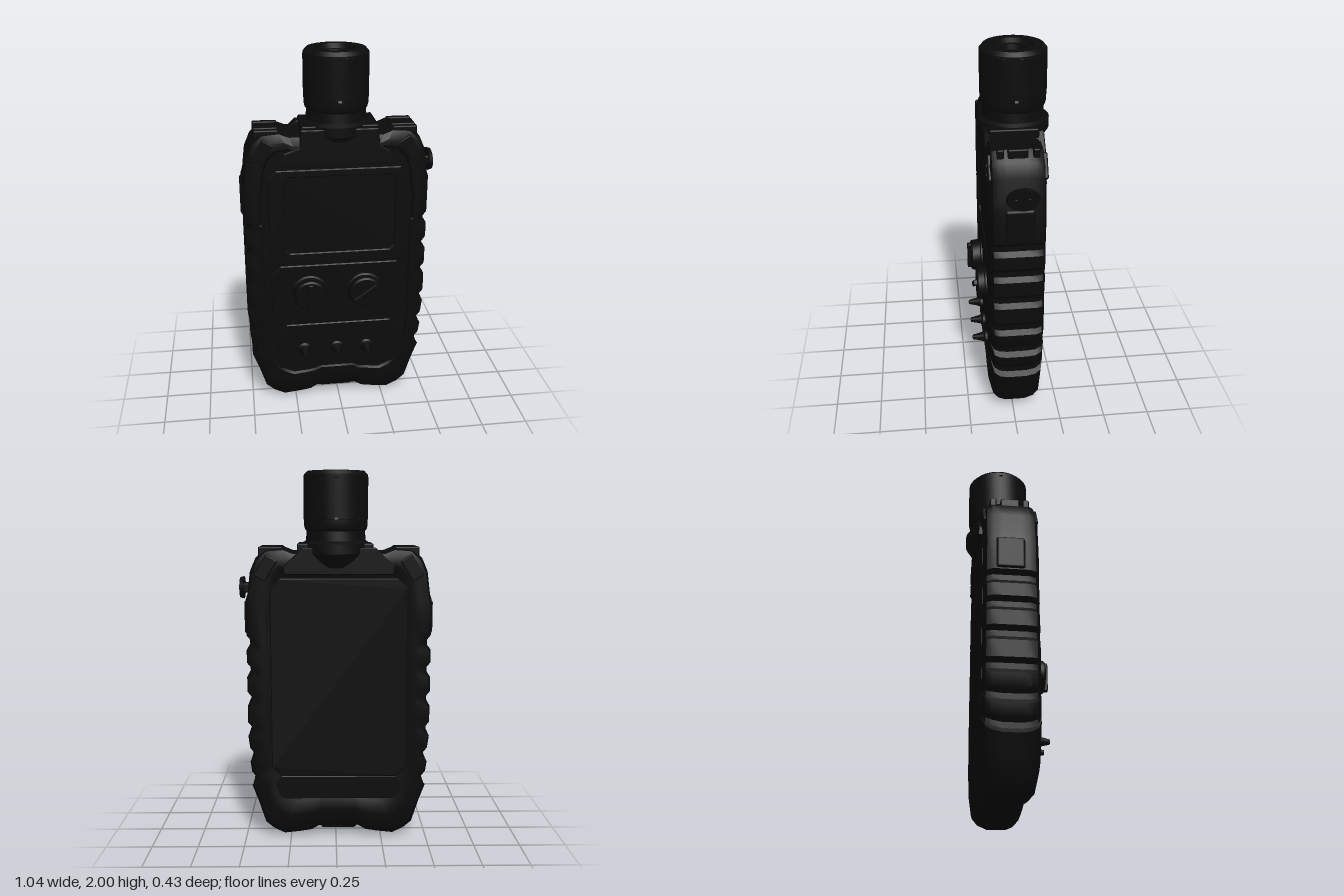
import * as THREE from 'three';
import { toCreasedNormals } from 'three/addons/utils/BufferGeometryUtils.js';
import { RoundedBoxGeometry } from 'three/addons/geometries/RoundedBoxGeometry.js';

const CX = -0.015; // body centre line
const HEAD_Z = -0.035; // axis of the sensor head

export function createModel() {
  const root = new THREE.Group();
  root.name = 'handheldDetector';
  const rubber = new THREE.MeshStandardMaterial({ color: 0x0b0b0b });

  const add = (name, geo, x = 0, y = 0, z = 0, parent = root) => {
    const m = new THREE.Mesh(geo, rubber);
    m.name = name;
    m.position.set(x, y, z);
    parent.add(m);
    return m;
  };
  const box = (name, x, y, z, w, h, d, r = 0.008, parent = root) =>
    add(name, new RoundedBoxGeometry(w, h, d, 2, r), x, y, z, parent);

  // Polygon plate between two depths, with a bevelled edge
  const plate = (name, pts, z0, z1, holePts) => {
    const shape = new THREE.Shape(pts.map(p => new THREE.Vector2(...p)));
    if (holePts) shape.holes.push(new THREE.Path(holePts.map(p => new THREE.Vector2(...p))));
    const b = 0.005;
    const geo = new THREE.ExtrudeGeometry(shape, {
      depth: z1 - z0 - 2 * b, bevelSize: b, bevelThickness: b, bevelSegments: 1
    });
    return add(name, geo, CX, 0, z0 + b);
  };
  // Rectangle with cut corners
  const rect = (x0, x1, y0, y1, c) => [
    [x0 + c, y0], [x1 - c, y0], [x1, y0 + c], [x1, y1 - c],
    [x1 - c, y1], [x0 + c, y1], [x0, y1 - c], [x0, y0 + c]
  ];

  add('body', bodyGeometry());

  // Front: screen bezel, glass, key panel, switch panel
  plate('screenBezel', rect(-0.355, 0.375, 0.88, 1.40, 0.04), 0.10, 0.13, rect(-0.28, 0.315, 0.93, 1.37, 0.025));
  plate('screen', rect(-0.275, 0.31, 0.935, 1.365, 0.02), 0.09, 0.121);
  plate('keyPanel', rect(-0.355, 0.375, 0.535, 0.855, 0.05), 0.10, 0.127);
  plate('switchPanel', [[-0.33, 0.22], [0.35, 0.22], [0.35, 0.42], [0.30, 0.49], [-0.28, 0.49], [-0.33, 0.42]], 0.09, 0.125);

  // Two turning knobs with grip bars
  for (const [x, depth, angle] of [[-0.165, 0.19, 0], [0.138, 0.18, -0.95]]) {
    const knob = new THREE.Group();
    knob.name = 'knob';
    knob.position.set(x, 0.7, 0);
    knob.rotation.z = angle;
    root.add(knob);
    const profile = [[0, 0.1], [0.1, 0.1], [0.1, 0.135], [0.091, 0.14], [0.087, depth - 0.008], [0.079, depth], [0, depth]];
    const g = new THREE.LatheGeometry(profile.map(p => new THREE.Vector2(...p)), 32);
    g.rotateX(Math.PI / 2);
    add('knobCap', toCreasedNormals(g, 0.5), 0, 0, 0, knob);
    box('knobGrip', 0, 0, depth, 0.03, 0.155, 0.04, 0.006, knob);
  }

  // Three toggle switches
  for (const x of [-0.2, -0.016, 0.152]) {
    const profile = [[0, 0.1], [0.04, 0.1], [0.04, 0.138], [0.03, 0.145], [0.024, 0.16], [0.013, 0.207], [0, 0.21]];
    const g = new THREE.LatheGeometry(profile.map(p => new THREE.Vector2(...p)), 16);
    g.rotateX(Math.PI / 2);
    add('toggleSwitch', toCreasedNormals(g, 0.5), x, 0.342, 0);
  }

  // Neck housing on front and back
  const neck = [[-0.31, 1.43], [0.31, 1.43], [0.27, 1.49], [0.22, 1.52], [0.21, 1.61], [-0.18, 1.61], [-0.19, 1.52], [-0.27, 1.49]];
  plate('neckFront', neck, 0.08, 0.132);
  plate('neckBack', [[-0.285, 1.47], [0.285, 1.47], [0.285, 1.51], [0.19, 1.60], [-0.19, 1.60], [-0.285, 1.51]], -0.172, -0.1);

  // Sensor head: collar, grooved neck, cap with stepped opening
  const headProfile = [
    [0, 1.50], [0.14, 1.50], [0.185, 1.575], [0.185, 1.625], [0.16, 1.64], [0.155, 1.69], [0.164, 1.70],
    [0.169, 1.72], [0.169, 1.75], [0.163, 1.76], [0.163, 1.96], [0.17, 1.965], [0.17, 1.98], [0.152, 2.0],
    [0.105, 2.0], [0.098, 1.975], [0.075, 1.975], [0.07, 1.94], [0, 1.94]
  ];
  const head = new THREE.LatheGeometry(headProfile.map(p => new THREE.Vector2(...p)), 48);
  add('sensorHead', toCreasedNormals(head, 0.4), 0, 0, HEAD_Z);
  // Curved grip panels around the cap
  const slot = 0.1, panels = 8;
  for (let i = 0; i < panels; i++) {
    const arc = Math.PI * 2 / panels;
    const pts = [[0.16, 1.74], [0.171, 1.75], [0.171, 1.97], [0.16, 1.98]].map(p => new THREE.Vector2(...p));
    const g = new THREE.LatheGeometry(pts, 6, i * arc + slot / 2, arc - slot);
    add('headGripPanel', toCreasedNormals(g, 0.4), 0, 0, HEAD_Z).material = rubberDouble(rubber);
  }
  box('collarBlock', 0.005, 1.60, -0.02, 0.40, 0.055, 0.25);

  // Shoulder pads, mirrored
  for (const s of [-1, 1]) {
    const at = x => CX + s * x;
    for (const z of [0.07, -0.015, -0.105])
      box('shoulderRib', at(0.36), 1.585, z, 0.13, 0.05, z === -0.015 ? 0.1 : 0.035);
    const pad = box('cornerPad', at(0.385), 1.5, -0.015, 0.07, 0.13, 0.293);
    pad.rotation.z = s * 0.55;
    box('sideBlock', at(0.475), 1.235, -0.02, 0.06, 0.18, 0.15, 0.015);
    // Vertical groove strips beside the front panel
    box('frontStrip', at(0.405), 0.78, 0.12, 0.02, 0.66, 0.025);
  }

  // Side button on the model's left
  const button = new THREE.CylinderGeometry(0.055, 0.06, 0.02, 24);
  button.rotateZ(-Math.PI / 2);
  add('sideButton', button, 0.503, 1.39, -0.03).scale.z = 1.4;
  box('buttonStem', 0.475, 1.39, -0.03, 0.05, 0.05, 0.08);
  for (const z of [-0.06, 0.005]) box('buttonNub', 0.51, 1.39, z, 0.015, 0.02, 0.015, 0.004);

  // Back cover and battery door
  plate('backCover', rect(-0.36, 0.36, 0.37, 1.44, 0.05), -0.158, -0.12);
  plate('batteryDoor', rect(-0.34, 0.34, 0.24, 0.36, 0.03), -0.152, -0.11);

  // Bottom port flap and rear latches
  box('portFlap', CX, 0.125, 0.075, 0.19, 0.10, 0.06, 0.02);
  box('portTab', CX, 0.13, 0.1, 0.08, 0.03, 0.03);
  box('bottomBridge', CX, 0.075, -0.015, 0.2, 0.07, 0.17, 0.02);
  for (const x of [-0.13, 0, 0.13]) box('rearLatch', CX + x, 0.14, -0.105, 0.08, 0.08, 0.06, 0.015);

  return root;
}

// Open panels share one double-sided copy of the material
let doubleSided;
function rubberDouble(mat) {
  if (!doubleSided) {
    doubleSided = mat.clone();
    doubleSided.side = THREE.DoubleSide;
  }
  return doubleSided;
}

// Body: mirrored outline with gripping scallops, lofted through depth
function bodyGeometry() {
  // half width, height, scallop depth
  const half = [
    [0, 0.045], [0.11, 0.045], [0.15, 0.02], [0.21, 0.01], [0.30, 0], [0.36, 0.03], [0.405, 0.07], [0.445, 0.2]
  ];
  for (const y of [0.33, 0.47, 0.62, 0.79, 0.95, 1.1]) {
    const w = 0.495 - 0.06 * Math.max(0, 0.62 - y);
    half.push([w, y - 0.04, 0], [w, y - 0.015, 0.02], [w, y + 0.015, 0.02], [w, y + 0.04, 0]);
  }
  half.push([0.495, 1.33], [0.485, 1.36], [0.47, 1.48], [0.44, 1.55], [0.39, 1.598], [0.30, 1.605], [0.25, 1.585], [0, 1.585]);
  const outline = [...half, ...half.slice(1, -1).reverse().map(([x, y, d]) => [-x, y, d])];

  // depth, inset, lift of the lower end, scallop strength
  const layers = [
    [-0.148, 0.11, 0.17, 0], [-0.155, 0.095, 0.17, 0], [-0.155, 0.055, 0.14, 0.6], [-0.14, 0.012, 0.07, 1],
    [-0.11, 0, 0.035, 1], [-0.06, 0, 0, 1], [0.04, 0, 0, 1], [0.08, 0, 0.03, 1],
    [0.11, 0.01, 0.07, 1], [0.13, 0.05, 0.13, 0.6], [0.13, 0.085, 0.15, 0], [0.118, 0.095, 0.15, 0]
  ];
  const pos = [], idx = [], n = outline.length;
  for (const [z, inset, lift, k] of layers)
    for (const [x, y, d = 0] of outline) {
      const px = (x - Math.sign(x) * d * k) * (1 - inset / 0.5);
      const py = 0.8 + (y - 0.8) * (1 - inset / 0.8) + lift * 0.6 * Math.max(0, 1 - y / 0.6);
      pos.push(CX + px, py, z);
    }
  for (let j = 0; j < layers.length - 1; j++)
    for (let i = 0; i < n; i++) {
      const a = j * n + i, b = j * n + (i + 1) % n;
      idx.push(a, b, b + n, a, b + n, a + n);
    }
  // End caps
  const last = (layers.length - 1) * n, c = layers.length * n;
  pos.push(CX, 0.8, layers[0][0], CX, 0.8, layers[layers.length - 1][0]);
  for (let i = 0; i < n; i++) {
    const k = (i + 1) % n;
    idx.push(c, k, i, c + 1, last + i, last + k);
  }
  const g = new THREE.BufferGeometry();
  g.setAttribute('position', new THREE.Float32BufferAttribute(pos, 3));
  g.setIndex(idx);
  return toCreasedNormals(g, 0.6);
}
